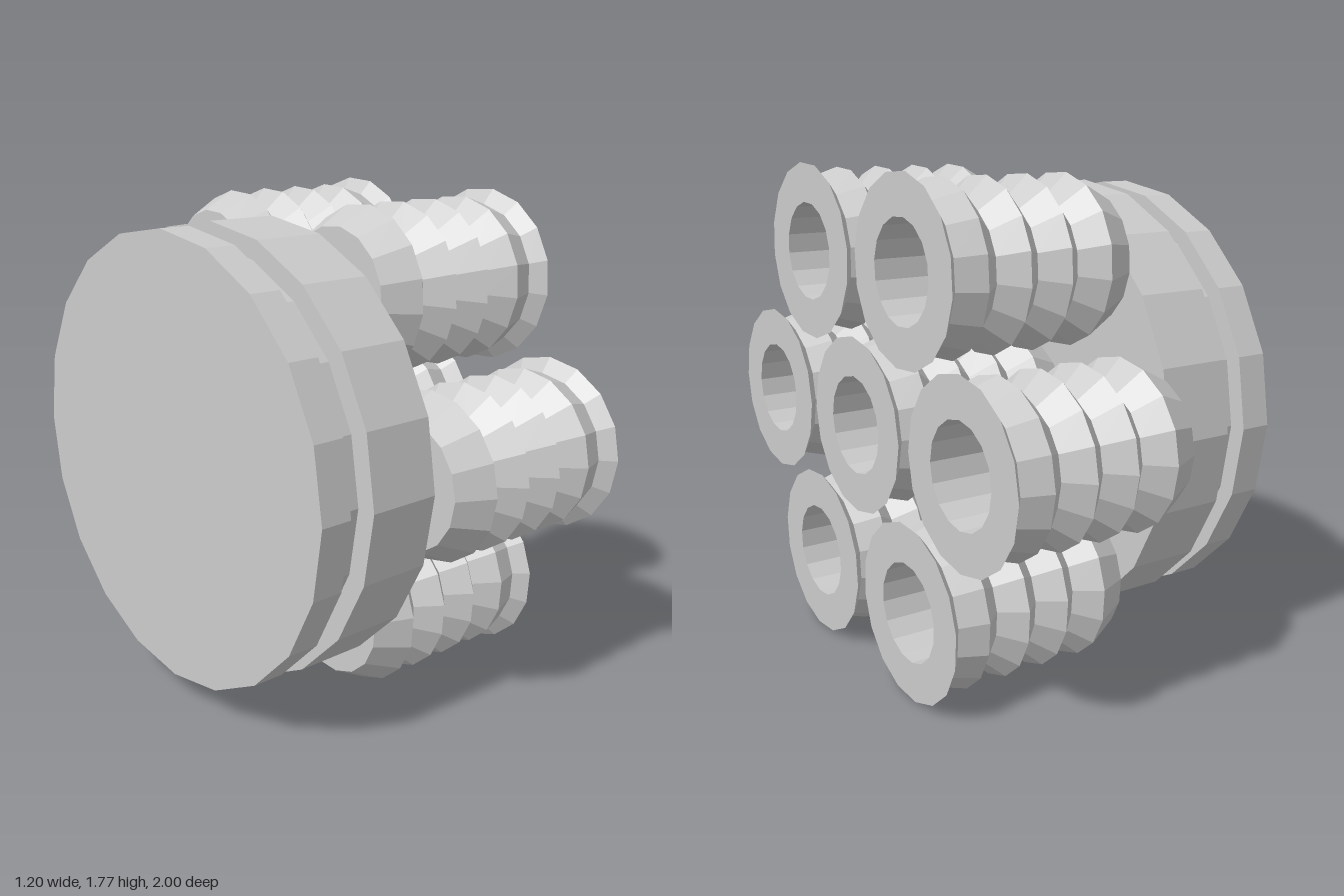
import * as THREE from 'three';

const CENTRE_Y = 0.887;
const material = new THREE.MeshStandardMaterial({ color: 0xcccccc, flatShading: true });

// Turned part whose axis runs along x; profile points are [radius, x]
function turned(name, profile, sides) {
  const points = profile.map(([r, x]) => new THREE.Vector2(r, x));
  const geometry = new THREE.LatheGeometry(points, sides);
  geometry.rotateZ(-Math.PI / 2);
  const mesh = new THREE.Mesh(geometry, material);
  mesh.name = name;
  return mesh;
}

// Bellows-like nozzle with a flared lip and a deep bore
function nozzleProfile() {
  const profile = [[0, -0.135], [0.23, -0.135], [0.295, -0.01]];
  for (let i = 0; i < 3; i++) {
    const x = 0.07 + i * 0.156;
    profile.push([0.217, x], [0.295, x + 0.077]);
  }
  profile.push([0.263, 0.56], [0.315, 0.6], [0.175, 0.6], [0.175, -0.13], [0, -0.13]);
  return profile;
}

export function createModel() {
  const group = new THREE.Group();
  group.name = 'nozzleCluster';

  // Drum base with a groove
  const base = turned('base', [
    [0, -0.6], [0.8, -0.6], [0.8, -0.485], [0.74, -0.485],
    [0.74, -0.4], [0.81, -0.4], [0.81, -0.135], [0, -0.135],
  ], 20);
  base.position.set(0, CENTRE_Y, 0.02);
  group.add(base);

  // Central nozzle
  const profile = nozzleProfile();
  const centre = turned('centreNozzle', profile, 16);
  centre.position.set(0, CENTRE_Y, 0.013);
  group.add(centre);

  // Ring of six nozzles, each turned with its place in the ring
  for (let i = 0; i < 6; i++) {
    const a = (i * Math.PI) / 3;
    const nozzle = turned('outerNozzle' + (i + 1), profile, 16);
    nozzle.rotation.x = a;
    nozzle.position.set(0, CENTRE_Y + 0.662 * Math.sin(a), 0.002 - 0.683 * Math.cos(a));
    group.add(nozzle);
  }
  return group;
}
